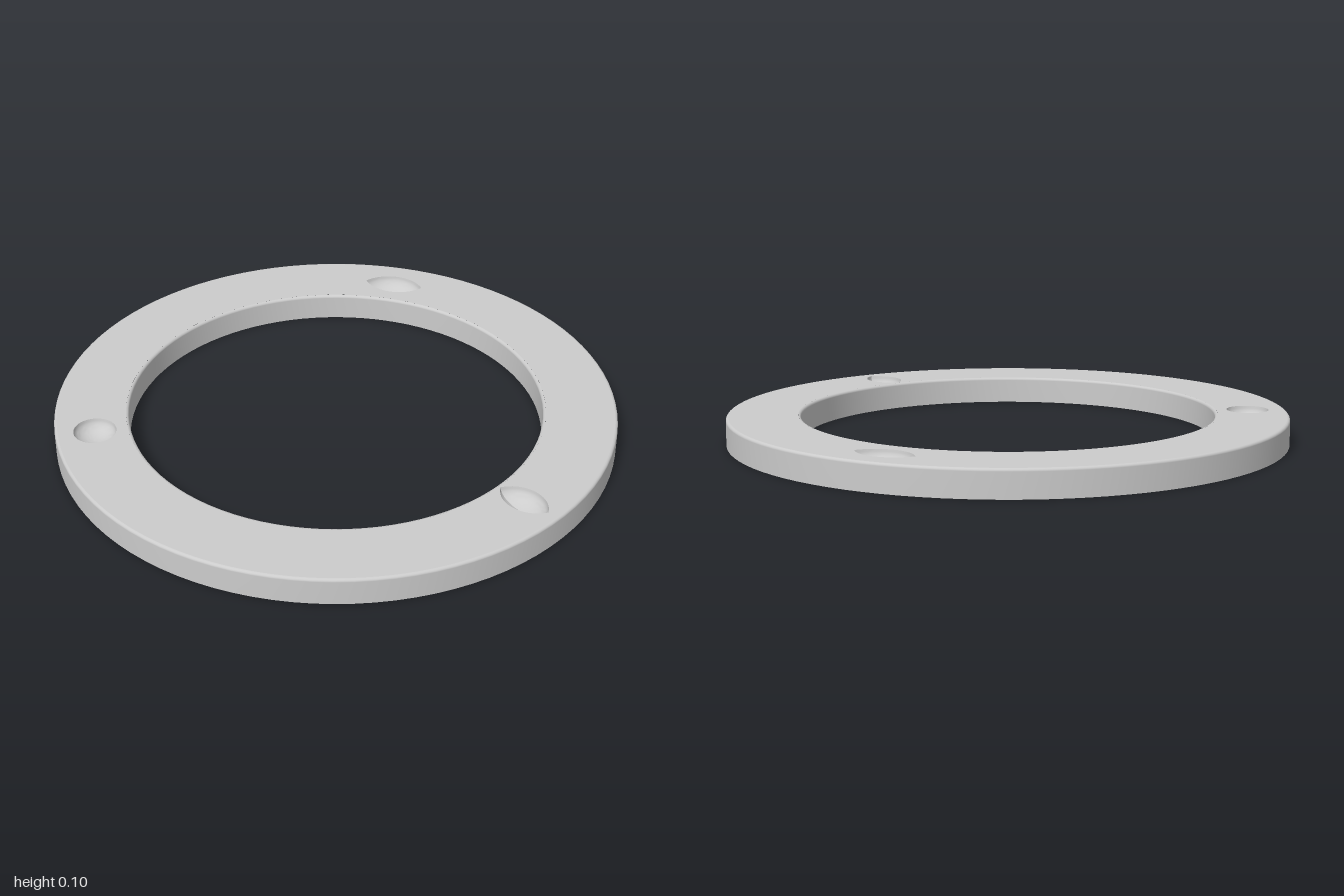
import * as THREE from 'three';
import { toCreasedNormals, mergeVertices } from 'three/addons/utils/BufferGeometryUtils.js';

const HEIGHT = 0.097, OUTER = 1, INNER = 0.737, FILLET = 0.01;
const material = new THREE.MeshStandardMaterial({ color: 0xcccccc, side: THREE.DoubleSide });

// Dimples in the plane of the top face (x, -z); equal half sizes give a round cup
const DIMPLES = [
  { name: 'tangentialGroove', x: 0, y: 0.86, angle: 0, halfLength: 0.112, halfWidth: 0.06, depth: 0.055 },
  { name: 'roundCup', x: -0.76, y: -0.405, angle: 0, halfLength: 0.075, halfWidth: 0.075, depth: 0.05 },
  { name: 'radialGroove', x: 0.755, y: -0.4, angle: -0.49, halfLength: 0.1, halfWidth: 0.06, depth: 0.055 },
];

// Two arcs, radius r, centres offset by c, that meet in a lens
function lens({ halfLength: l, halfWidth: w }) {
  const r = (l * l / w + w) / 2, c = r - w;
  const half = Math.acos(c / r), steps = 18, points = [];
  for (const side of [1, -1]) {
    for (let i = 0; i < steps; i++) {
      const a = half * (2 * i / steps - 1);
      points.push(new THREE.Vector2(side * r * Math.sin(a), side * (r * Math.cos(a) - c)));
    }
  }
  return { r, c, points };
}

const place = (p, d) => p.clone().rotateAround(new THREE.Vector2(), d.angle).add(new THREE.Vector2(d.x, d.y));

// Hollow of a dimple: shrinking rings of the rim dropped onto the two curved flanks
function dimpleGeometry(d) {
  const { r, c, points } = lens(d);
  const n = points.length, rings = 10, positions = [], index = [];
  const scale = d.depth / Math.sqrt(r * r - c * c);
  for (let j = 0; j <= rings; j++) {
    const s = Math.cos(j / rings * Math.PI / 2);
    for (const point of points) {
      const p = point.clone().multiplyScalar(s);
      const drop = Math.sqrt(Math.max(0, r * r - p.x * p.x - (Math.abs(p.y) + c) ** 2));
      const q = place(p, d);
      positions.push(q.x, q.y, -scale * drop);
    }
  }
  for (let j = 0; j < rings; j++) {
    for (let i = 0; i < n; i++) {
      const a = j * n + i, b = j * n + (i + 1) % n;
      index.push(a, a + n, b);
      if (j < rings - 1) index.push(b, a + n, b + n);
    }
  }
  const geometry = new THREE.BufferGeometry();
  geometry.setAttribute('position', new THREE.Float32BufferAttribute(positions, 3));
  geometry.setIndex(index);
  return toCreasedNormals(mergeVertices(geometry), 0.5);
}

// Thin upright wall whose top edge rounds over towards the top face
function wallGeometry(radius, inward) {
  const points = [new THREE.Vector2(radius, 0)];
  for (let i = 0; i <= 4; i++) {
    const a = i / 4 * Math.PI / 2;
    points.push(new THREE.Vector2(
      radius + inward * FILLET * (1 - Math.cos(a)),
      HEIGHT - FILLET + FILLET * Math.sin(a)));
  }
  // The inner wall runs downwards so that it faces the opening
  if (inward > 0) points.reverse();
  return new THREE.LatheGeometry(points, 96);
}

export function createModel() {
  const group = new THREE.Group();
  const add = (name, geometry) => {
    const mesh = new THREE.Mesh(geometry, material);
    mesh.name = name;
    group.add(mesh);
    return mesh;
  };

  // Walls, open underneath
  add('outerWall', wallGeometry(OUTER, -1));
  add('innerWall', wallGeometry(INNER, 1));

  // Flat top pierced by the opening and the dimple rims
  const top = new THREE.Shape().absarc(0, 0, OUTER - FILLET, 0, Math.PI * 2);
  top.holes.push(new THREE.Path().absarc(0, 0, INNER + FILLET, 0, Math.PI * 2, true));
  for (const d of DIMPLES) top.holes.push(new THREE.Path(lens(d).points.map(p => place(p, d))));
  add('topFace', new THREE.ShapeGeometry(top, 96).rotateX(-Math.PI / 2)).position.y = HEIGHT;

  // Sunken dimples
  for (const d of DIMPLES) {
    add(d.name, dimpleGeometry(d).rotateX(-Math.PI / 2)).position.y = HEIGHT;
  }
  return group;
}
